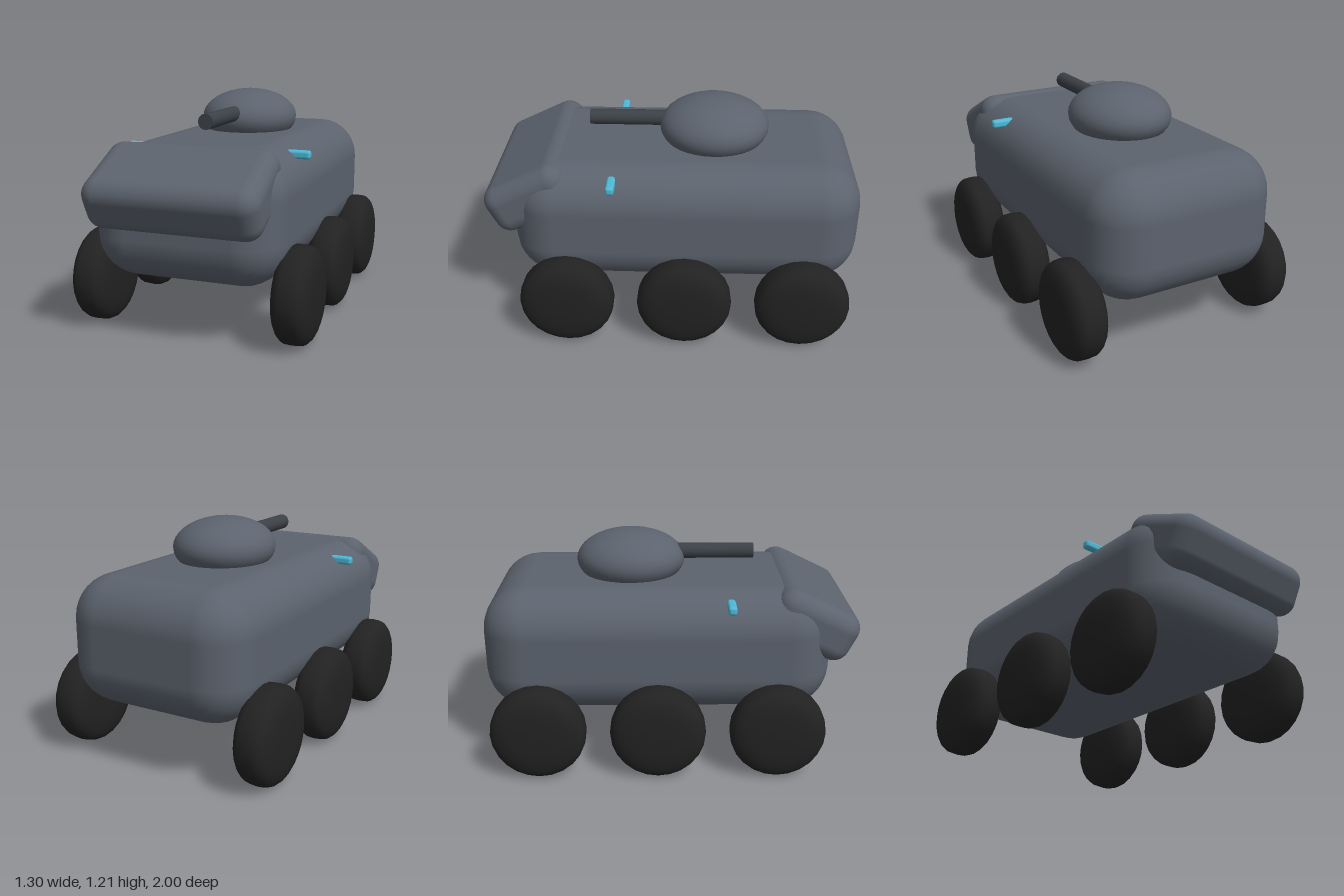
import * as THREE from 'three';
import { RoundedBoxGeometry } from 'three/addons/geometries/RoundedBoxGeometry.js';

const material = (name, color) => {
  const m = new THREE.MeshStandardMaterial({ color });
  m.name = name;
  return m;
};

// Tyre profile: a superellipse spun around the axle
function wheelGeometry(radius, halfWidth, power = 3.2, steps = 16) {
  const points = [];
  for (let i = 0; i <= steps; i++) {
    const a = -Math.PI / 2 + (Math.PI * i) / steps;
    const r = i === 0 || i === steps ? 0 : Math.pow(Math.cos(a), 2 / power);
    const w = Math.sign(Math.sin(a)) * Math.pow(Math.abs(Math.sin(a)), 2 / power);
    points.push(new THREE.Vector2(r * radius, w * halfWidth));
  }
  return new THREE.LatheGeometry(points, 24).rotateZ(Math.PI / 2);
}

export function createModel() {
  const armour = material('armourGrey', 0x5c636e);
  const gunmetal = material('gunmetal', 0x3c4147);
  const rubber = material('rubberBlack', 0x222222);
  const lamp = material('lampCyan', 0x4fb9d6);

  const model = new THREE.Group();
  model.name = 'armouredCar';
  const add = (name, geometry, mat, x, y, z) => {
    const mesh = new THREE.Mesh(geometry, mat);
    mesh.name = name;
    mesh.position.set(x, y, z);
    model.add(mesh);
    return mesh;
  };

  // Hull and the tilted nose plate
  add('hull', new RoundedBoxGeometry(1.02, 0.68, 1.86, 4, 0.23), armour, 0, 0.64, -0.07);
  const nose = add('nosePlate', new RoundedBoxGeometry(0.92, 0.28, 0.477, 4, 0.09), armour, 0, 0.79, 0.754);
  nose.rotation.x = 0.454;

  // Domed turret and gun
  const dome = new THREE.SphereGeometry(1, 32, 20).scale(0.27, 0.16, 0.297);
  add('turret', dome, armour, 0, 1.05, -0.217);
  const barrel = new THREE.CylinderGeometry(0.042, 0.042, 0.56, 16).rotateX(Math.PI / 2);
  add('gunBarrel', barrel, gunmetal, 0, 1.086, 0.18);

  // Lamps and three wheels on each side
  const lampGeometry = new RoundedBoxGeometry(0.18, 0.045, 0.045, 3, 0.015);
  const wheel = wheelGeometry(0.255, 0.107);
  for (const [side, s] of [['left', 1], ['right', -1]]) {
    add(side + 'Lamp', lampGeometry, lamp, s * 0.432, 0.921, 0.313);
    [['Front', 0.565], ['Middle', -0.07], ['Rear', -0.705]].forEach(([place, z]) =>
      add(side + place + 'Wheel', wheel, rubber, s * 0.545, 0.255, z));
  }
  return model;
}
